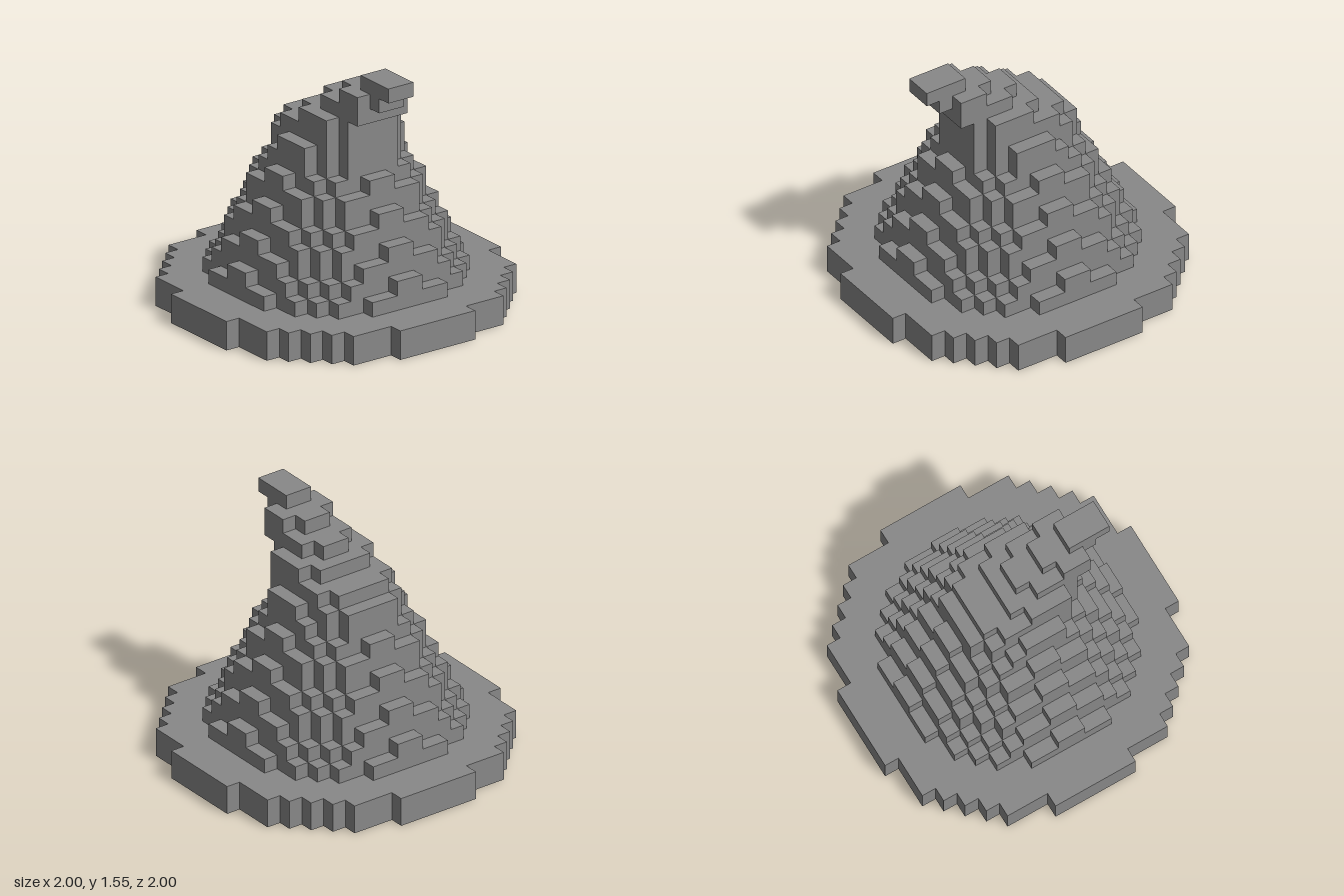
import * as THREE from 'three';

const V = 1 / 11; // size of one block

// Half-widths of a blocky disc, one entry per row of blocks from back to front
function discRows(radius) {
  const n = Math.ceil(radius);
  const rows = [];
  for (let z = -n; z < n; z++) {
    let half = 0;
    while (Math.hypot(half + 0.5, z + 0.5) <= radius) half++;
    rows.push(half);
  }
  const first = rows.findIndex((h) => h > 0);
  return { z0: -n + first, rows: rows.filter((h) => h > 0) };
}

// Stepped, left-right symmetric outline around the rows
function outline({ z0, rows }) {
  const right = [];
  rows.forEach((h, i) => {
    if (h !== rows[i - 1]) {
      if (i > 0) right.push([rows[i - 1], z0 + i]);
      right.push([h, z0 + i]);
    }
  });
  right.push([rows[rows.length - 1], z0 + rows.length]);
  const left = right.map(([x, z]) => [-x, z]).reverse();
  return [...right, ...left].map(([x, z]) => new THREE.Vector2(x * V, -z * V));
}

export function createModel() {
  const model = new THREE.Group();
  model.name = 'pointedHat';
  const felt = new THREE.MeshStandardMaterial({ color: 0x888888 });
  felt.name = 'greyFelt';

  function addLayer(parent, name, y, plan, hole) {
    const shape = new THREE.Shape(outline(plan));
    if (hole) shape.holes.push(new THREE.Path(outline(hole)));
    const geo = new THREE.ExtrudeGeometry(shape, { depth: V, bevelEnabled: false });
    geo.rotateX(-Math.PI / 2);
    geo.translate(0, y * V, 0);
    const mesh = new THREE.Mesh(geo, felt);
    mesh.name = name;
    parent.add(mesh);
  }

  function addGroup(name) {
    const group = new THREE.Group();
    group.name = name;
    model.add(group);
    return group;
  }

  // Wide round brim with a shallow pocket underneath
  const brim = addGroup('brim');
  addLayer(brim, 'brimBottom', 0, discRows(11), discRows(2.7));
  addLayer(brim, 'brimTop', 1, discRows(11));

  // Cone of shrinking discs
  const cone = addGroup('cone');
  for (let y = 2; y <= 10; y++) addLayer(cone, 'coneLayer', y, discRows(8 - 0.47 * (y - 2)));

  // Tip bending forward, rows listed from back to front
  const tip = addGroup('bentTip');
  [
    { z0: -4, rows: [2, 3, 3, 4, 4, 4, 3, 2] },
    { z0: -3, rows: [2, 3, 3, 3, 3, 3, 2] },
    { z0: -1, rows: [2, 3, 3, 3, 2] },
    { z0: 0, rows: [1, 2, 2, 2, 2] },
    { z0: 2, rows: [1, 2, 2, 1] },
    { z0: 4, rows: [1, 1, 1] },
  ].forEach((plan, i) => addLayer(tip, 'tipLayer', 11 + i, plan));

  return model;
}
